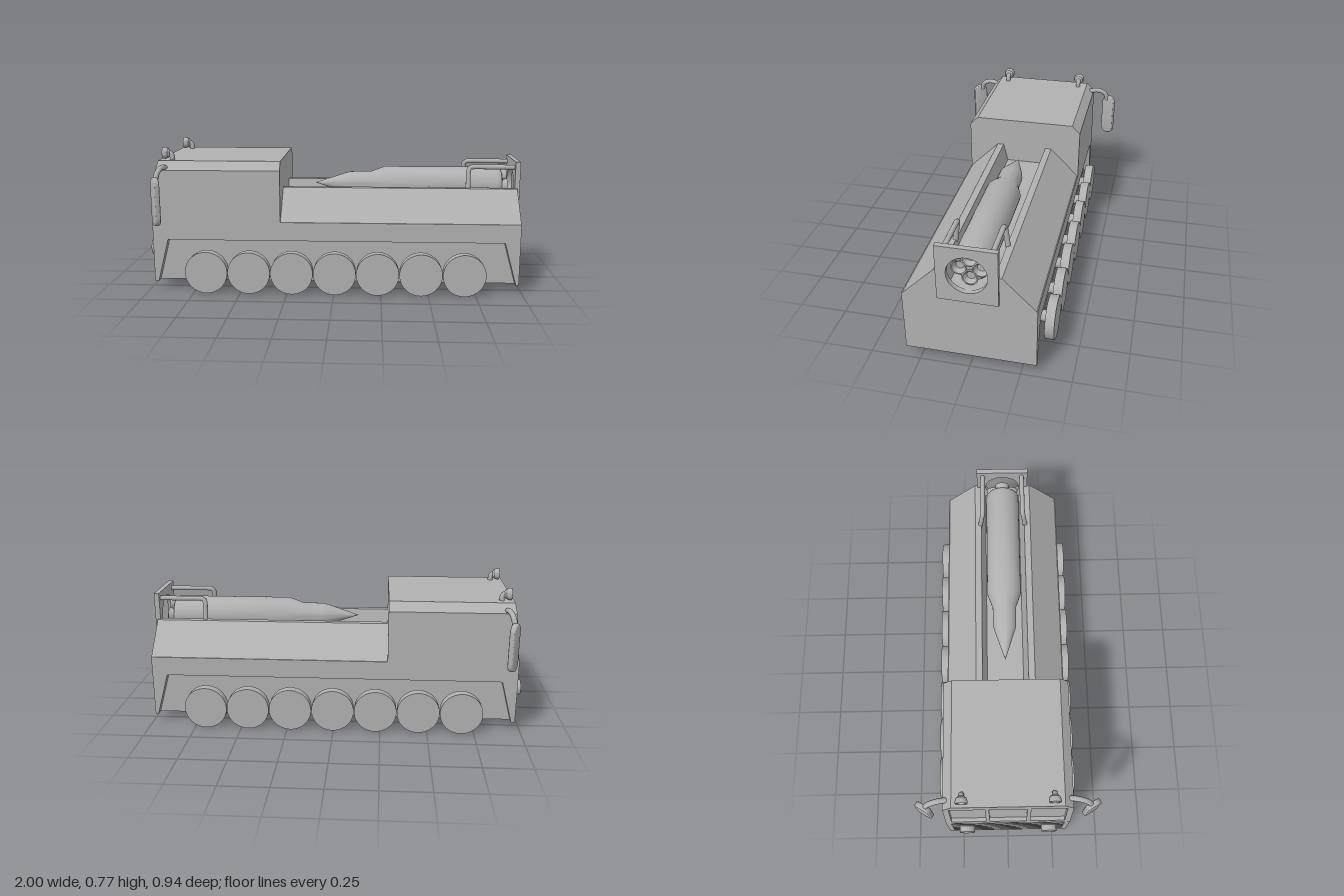
import * as THREE from 'three';
import { toCreasedNormals } from 'three/addons/utils/BufferGeometryUtils.js';

const grey = new THREE.MeshStandardMaterial({ color: 0xb0b0b0, side: THREE.DoubleSide });
grey.name = 'plain grey';

const V = (x, y, z) => new THREE.Vector3(x, y, z);
const shapeOf = (pts) => new THREE.Shape(pts.map(([a, b]) => new THREE.Vector2(a, b)));
const rect = (a0, b0, a1, b1) => new THREE.Path([[a0, b0], [a1, b0], [a1, b1], [a0, b1]].map(([a, b]) => new THREE.Vector2(a, b)));

export function createModel() {
  const model = new THREE.Group();
  model.name = 'missileCarrier';

  const add = (name, geometry, parent = model) => {
    const mesh = new THREE.Mesh(geometry, grey);
    mesh.name = name;
    parent.add(mesh);
    return mesh;
  };

  // Extrude a (z, y) outline along x
  const alongX = (shape, x0, x1) => {
    const g = new THREE.ExtrudeGeometry(shape, { depth: x1 - x0, bevelEnabled: false, curveSegments: 32 });
    return g.rotateY(Math.PI / 2).translate(x0, 0, 0);
  };
  // Lean the forward vertices back with height, for the sloped windscreen
  const slopeFront = (g) => {
    const p = g.attributes.position;
    for (let i = 0; i < p.count; i++) {
      if (p.getX(i) < -0.6) p.setX(i, p.getX(i) + (p.getY(i) - 0.38) * 0.11);
    }
    g.computeVertexNormals();
    return g;
  };
  const box = (x0, x1, y0, y1, z0, z1) =>
    new THREE.BoxGeometry(x1 - x0, y1 - y0, z1 - z0).translate((x0 + x1) / 2, (y0 + y1) / 2, (z0 + z1) / 2);
  const tube = (pts, r, tension = 0.5) =>
    new THREE.TubeGeometry(new THREE.CatmullRomCurve3(pts, false, 'catmullrom', tension), 28, r, 12);
  const latheX = (pts, seg = 48) =>
    toCreasedNormals(new THREE.LatheGeometry(pts.map(([r, y]) => new THREE.Vector2(r, y)), seg).rotateZ(-Math.PI / 2), 0.5);

  // Lower hull, with side panels that leave a shallow wheel recess
  add('hullCore', box(-0.95, 0.98, 0.05, 0.38, -0.285, 0.285));
  const sidePanel = shapeOf([
    [-0.95, 0.38], [-0.95, 0.05], [-0.89, 0.28], [0.9, 0.28], [0.965, 0.05], [0.98, 0.05], [0.98, 0.38],
  ]);
  for (const [name, z] of [['leftHullSide', 0.285], ['rightHullSide', -0.325]]) {
    add(name, new THREE.ExtrudeGeometry(sidePanel, { depth: 0.04, bevelEnabled: false }).translate(0, 0, z));
  }

  // Slotted grille
  const grille = shapeOf([[-0.325, 0.05], [0.325, 0.05], [0.325, 0.38], [-0.325, 0.38]]);
  for (let i = 0; i < 6; i++) grille.holes.push(rect(-0.3, 0.07 + i * 0.051, 0.3, 0.1 + i * 0.051));
  add('grille', alongX(grille, -0.97, -0.95));

  // Cab with chamfered roof edges and a three-pane windscreen frame
  const cabPts = [[-0.325, 0.38], [0.325, 0.38], [0.325, 0.655], [0.28, 0.7], [-0.28, 0.7], [-0.325, 0.655]];
  add('cab', slopeFront(alongX(shapeOf(cabPts), -0.95, -0.285)));
  const frame = shapeOf(cabPts);
  for (const [a, b] of [[-0.295, -0.115], [-0.095, 0.095], [0.115, 0.295]]) frame.holes.push(rect(a, 0.41, b, 0.65));
  add('windscreenFrame', slopeFront(alongX(frame, -0.97, -0.95)));

  // Sloped rear deck with the missile trough
  const half = [[0.325, 0.375], [0.16, 0.54], [0.125, 0.54], [0.1, 0.44]];
  const deck = shapeOf([...half, ...half.map(([z, y]) => [-z, y]).reverse()]);
  add('rearDeck', alongX(deck, -0.285, 0.98));

  // Wheels and axles
  for (let i = 0; i < 7; i++) {
    const x = -0.68 + i * 0.228;
    add('axle', new THREE.CylinderGeometry(0.03, 0.03, 0.68, 16).rotateX(Math.PI / 2).translate(x, 0.113, 0));
    for (const s of [1, -1]) {
      add('wheel', new THREE.CylinderGeometry(0.113, 0.113, 0.048, 48).rotateX(Math.PI / 2).translate(x, 0.113, s * 0.351));
    }
  }

  // Missile with a hollow four-nozzle tail
  const missile = new THREE.Group();
  missile.name = 'missile';
  missile.position.y = 0.54;
  model.add(missile);
  add('missileBody', latheX([
    [0, -0.12], [0.058, 0.055], [0.064, 0.08], [0.065, 0.19], [0.094, 0.27], [0.094, 0.885],
    [0.091, 0.9], [0.084, 0.91], [0.07, 0.915], [0, 0.915],
  ]), missile);
  for (let i = 0; i < 4; i++) {
    const a = i * Math.PI / 2;
    add('nozzle', latheX([[0.025, 0.9], [0.04, 0.94], [0.034, 0.94], [0.02, 0.918], [0, 0.918]], 24)
      .translate(0, Math.cos(a) * 0.051, Math.sin(a) * 0.051), missile);
  }

  // Tail plate with a round exhaust opening
  const plate = shapeOf([[-0.147, 0.39], [0.147, 0.39], [0.147, 0.685], [-0.147, 0.685]]);
  plate.holes.push(new THREE.Path().absarc(0, 0.54, 0.098, 0, Math.PI * 2, true));
  add('tailPlate', toCreasedNormals(alongX(plate, 0.968, 0.995), 0.5));

  // Paired fittings, mirrored in z
  for (const s of [1, -1]) {
    add('guardRail', tube([
      V(0.975, 0.652, s * 0.113), V(0.85, 0.652, s * 0.113), V(0.745, 0.652, s * 0.113),
      V(0.724, 0.64, s * 0.115), V(0.72, 0.61, s * 0.12), V(0.72, 0.53, s * 0.13),
    ], 0.013));

    add('headlight', new THREE.CylinderGeometry(0.041, 0.041, 0.05, 32).rotateZ(Math.PI / 2).translate(-0.975, 0.215, s * 0.222));

    // Swept-back mirror on a curved arm
    const w = 0.0425, h = 0.085;
    const oval = new THREE.Shape();
    oval.absarc(0, h, w, 0, Math.PI, false);
    oval.absarc(0, -h, w, Math.PI, Math.PI * 2, false);
    const mirror = add('mirror', toCreasedNormals(new THREE.ExtrudeGeometry(oval, {
      depth: 0.01, bevelThickness: 0.01, bevelSize: 0.008, bevelOffset: -0.008, bevelSegments: 3, curveSegments: 20,
    }).translate(0, 0, -0.005).rotateY(Math.PI / 2), 0.6));
    mirror.position.set(-0.916, 0.507, s * 0.428);
    mirror.rotation.y = s * Math.PI / 6;
    add('mirrorArm', tube([
      V(-0.89, 0.655, s * 0.29), V(-0.893, 0.67, s * 0.32), V(-0.9, 0.672, s * 0.36),
      V(-0.91, 0.65, s * 0.4), V(-0.918, 0.6, s * 0.42),
    ], 0.014));

    // Roof lamp: domed cup on a bent post
    add('lampPost', tube([V(-0.872, 0.69, s * 0.228), V(-0.872, 0.715, s * 0.228), V(-0.88, 0.732, s * 0.228), V(-0.9, 0.735, s * 0.228)], 0.014));
    const lamp = add('roofLamp', latheX([[0, -0.012], [0.018, -0.012], [0.022, -0.022], [0.031, -0.022], [0.032, -0.012], [0.026, 0.006], [0.013, 0.016], [0, 0.018]], 24));
    lamp.position.set(-0.898, 0.734, s * 0.228);
  }

  return model;
}
